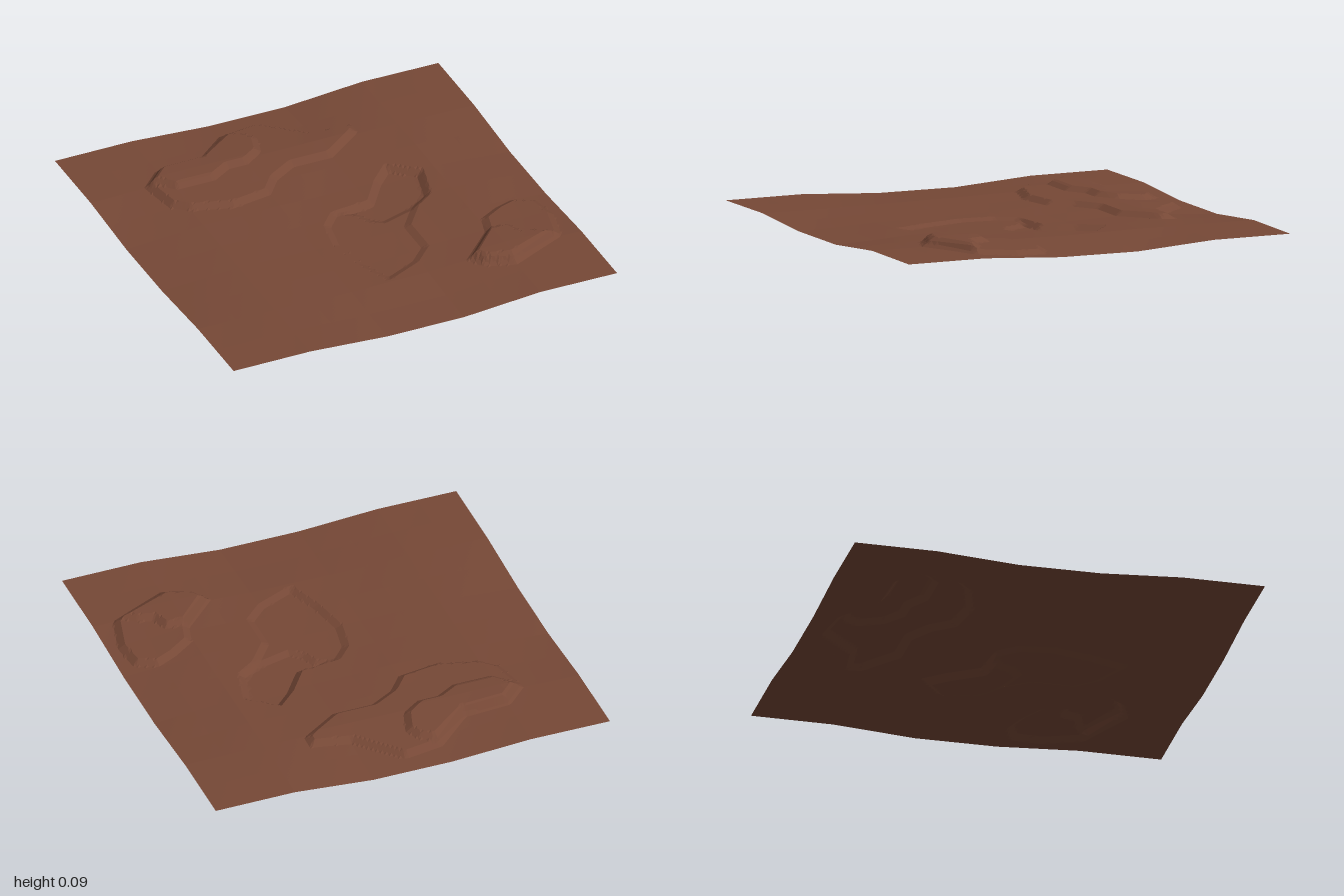
import * as THREE from 'three';

const SEGMENTS = 120, CELL = 2 / SEGMENTS, RAMP = 0.035;

// Base ground heights in hundredths; rows run back to front, columns -x to +x
const GROUND = [
  [3.6, 3.6, 1.0, 0.8, 4.0, 3.6],
  [3.6, 4.2, 4.0, 3.8, 4.3, 3.6],
  [1.0, 4.0, 3.6, 3.0, 4.0, 1.0],
  [1.2, 3.4, 2.6, 2.8, 4.0, 1.2],
  [3.6, 3.4, 2.4, 2.8, 4.1, 3.6],
  [3.6, 3.6, 1.0, 0.8, 4.0, 3.6],
];

// Terraces: outlines as [x, z], with the height each one adds or removes
const TERRACES = [
  { rise: 0.023, outline: [[-0.72, -0.6], [-0.61, -0.71], [-0.38, -0.72], [-0.2, -0.88], [0, -0.91], [0.2, -0.72], [0.4, -0.69],
    [0.4, -0.61], [0.2, -0.47], [0, -0.47], [-0.12, -0.4], [-0.2, -0.3], [-0.4, -0.27], [-0.6, -0.33], [-0.68, -0.4]] },
  { rise: 0.022, outline: [[-0.7, -0.6], [-0.6, -0.7], [-0.38, -0.71], [-0.18, -0.86], [-0.1, -0.82], [-0.06, -0.75],
    [-0.1, -0.62], [-0.2, -0.55], [-0.3, -0.55], [-0.4, -0.49], [-0.6, -0.49]] },
  { rise: 0.021, outline: [[0.4, 0.6], [0.45, 0.68], [0.6, 0.74], [0.9, 0.6], [0.95, 0.4], [0.93, 0.25], [0.82, 0.2],
    [0.72, 0.24], [0.61, 0.31], [0.58, 0.42]] },
  { rise: 0.022, outline: [[0.42, 0.6], [0.47, 0.67], [0.6, 0.71], [0.89, 0.59], [0.8, 0.53], [0.73, 0.51], [0.7, 0.43], [0.59, 0.42]] },
  { rise: -0.014, outline: [[0, -0.06], [0.2, -0.08], [0.3, -0.22], [0.4, -0.32], [0.55, -0.2], [0.5, 0], [0.4, 0.07],
    [0.3, 0.2], [0.3, 0.4], [0.2, 0.5], [0, 0.59], [-0.07, 0.4], [-0.11, 0.2], [-0.08, 0.03]] },
  { rise: -0.014, outline: [[0, -0.06], [0.2, -0.08], [0.3, -0.22], [0.4, -0.32], [0.55, -0.2], [0.49, 0], [0.38, 0.07],
    [0.2, 0.12], [0.13, 0.07], [0.1, 0]] },
];

// Bilinear lookup in a square grid that spans the sheet
function sample(grid, x, z) {
  const n = grid.length - 1;
  const u = THREE.MathUtils.clamp((x + 1) / 2 * n, 0, n), v = THREE.MathUtils.clamp((z + 1) / 2 * n, 0, n);
  const i = Math.min(Math.floor(u), n - 1), j = Math.min(Math.floor(v), n - 1);
  const { lerp } = THREE.MathUtils;
  return lerp(lerp(grid[j][i], grid[j][i + 1], u - i), lerp(grid[j + 1][i], grid[j + 1][i + 1], u - i), v - j);
}

// Slight unevenness on a coarse grid
function roughGrid(n, amount) {
  let seed = 7;
  const next = () => (seed = (seed * 16807) % 2147483647) / 2147483647 - 0.5;
  return Array.from({ length: n + 1 }, (_, j) => Array.from({ length: n + 1 }, (_, i) => {
    const r = next() * amount;
    return i === 0 || j === 0 || i === n || j === n ? 0 : r;
  }));
}

// Distance to an outline, positive inside, and the closest point on it
function probe(outline, x, z) {
  let best = Infinity, px = 0, pz = 0, inside = false;
  outline.forEach(([ax, az], k) => {
    const [bx, bz] = outline[(k + 1) % outline.length];
    const dx = bx - ax, dz = bz - az;
    const t = THREE.MathUtils.clamp(((x - ax) * dx + (z - az) * dz) / (dx * dx + dz * dz), 0, 1);
    const qx = ax + dx * t, qz = az + dz * t, d = Math.hypot(x - qx, z - qz);
    if (d < best) { best = d; px = qx; pz = qz; }
    if ((az > z) !== (bz > z) && x < ax + (z - az) / dz * dx) inside = !inside;
  });
  return { d: inside ? best : -best, px, pz };
}

// Pull a point onto the foot or lip of a nearby terrace so its edge stays crisp
function snap(x, z) {
  for (const { outline } of TERRACES) {
    const { d, px, pz } = probe(outline, x, z);
    if (Math.abs(d) < CELL * 0.45) return [px, pz];
    if (Math.abs(d - RAMP) < CELL * 0.45) return [px + (x - px) * RAMP / d, pz + (z - pz) * RAMP / d];
  }
  return [x, z];
}

export function createModel() {
  const group = new THREE.Group();
  group.name = 'groundPatch';
  const soil = new THREE.MeshStandardMaterial({ color: 0x764836, flatShading: true, side: THREE.DoubleSide });
  soil.name = 'reddish brown soil';

  // One sheet, shaped by ground waves and terraces
  const geometry = new THREE.PlaneGeometry(2, 2, SEGMENTS, SEGMENTS).rotateX(-Math.PI / 2);
  const position = geometry.attributes.position;
  const rough = roughGrid(10, 0.005);
  let lowest = Infinity;
  for (let k = 0; k < position.count; k++) {
    const [x, z] = snap(position.getX(k), position.getZ(k));
    let y = sample(GROUND, x, z) * 0.01 + sample(rough, x, z);
    for (const { rise, outline } of TERRACES) {
      y += rise * THREE.MathUtils.clamp(probe(outline, x, z).d / RAMP, 0, 1);
    }
    position.setXYZ(k, x, y, z);
    lowest = Math.min(lowest, y);
  }
  geometry.translate(0, -lowest, 0);
  geometry.computeVertexNormals();

  const sheet = new THREE.Mesh(geometry, soil);
  sheet.name = 'terracedGround';
  group.add(sheet);
  return group;
}
